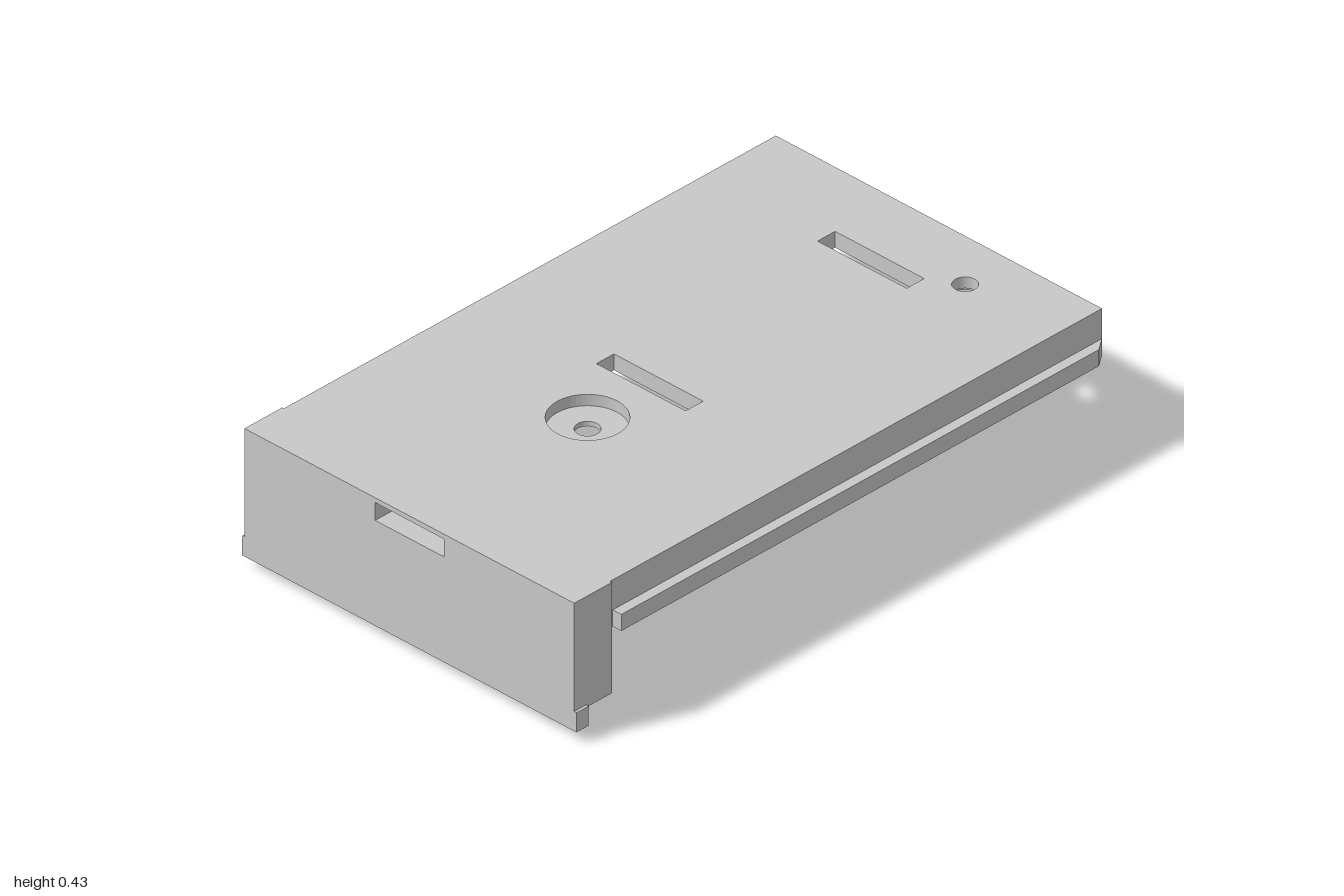
import * as THREE from 'three';

export function createModel() {
  const model = new THREE.Group();
  const grey = new THREE.MeshStandardMaterial({ color: 0xc8c8c8 });
  grey.name = 'plain grey';

  const add = (name, geometry) => {
    const mesh = new THREE.Mesh(geometry, grey);
    mesh.name = name;
    model.add(mesh);
    return mesh;
  };
  const box = (name, x0, x1, y0, y1, z0, z1) =>
    add(name, new THREE.BoxGeometry(x1 - x0, y1 - y0, z1 - z0))
      .position.set((x0 + x1) / 2, (y0 + y1) / 2, (z0 + z1) / 2);

  // Plan outlines: shape y is -z, outer outlines run counter-clockwise
  const polygon = (Type, pts) => new Type(pts.map(([x, z]) => new THREE.Vector2(x, -z)));
  const rect = (x0, x1, z0, z1) => polygon(THREE.Path, [[x0, z0], [x1, z0], [x1, z1], [x0, z1]]);
  const circle = (x, z, r) => new THREE.Path().absarc(x, -z, r, 0, Math.PI * 2, true);
  const extrude = (name, shape, y0, y1) => {
    const g = new THREE.ExtrudeGeometry(shape, { depth: y1 - y0, bevelEnabled: false, curveSegments: 24 });
    g.rotateX(-Math.PI / 2);
    add(name, g).position.y = y0;
  };

  const X0 = -1, X1 = 0.965, XLEG = -0.86;
  const Z0 = -0.593, Z1 = 0.59; // cover sides
  const L0 = -0.599, L1 = 0.597; // leg sides, slightly proud
  const slab = (name, y0, y1, notched, holes) => {
    const notch = notched ? [[X0, -0.125], [-0.87, -0.125], [-0.87, 0.125], [X0, 0.125]] : [];
    const shape = polygon(THREE.Shape, [
      [X0, L0], ...notch, [X0, L1], [XLEG, L1], [XLEG, Z1], [X1, Z1], [X1, Z0], [XLEG, Z0], [XLEG, L0],
    ]);
    shape.holes.push(...holes);
    extrude(name, shape, y0, y1);
  };
  const openings = (boreRadius, sideRadius) => [
    rect(-0.14, -0.075, -0.163, 0.16),
    rect(0.68, 0.745, -0.163, 0.16),
    circle(0.8, 0.255, sideRadius),
    circle(-0.34, 0, boreRadius),
  ];
  const recess = () => [rect(-0.85, 0.925, -0.553, 0.55)];

  // Cover: hollow rim below, pierced plate above, finger slot in the end
  slab('rimLower', 0.286, 0.36, false, recess());
  slab('rimUpper', 0.36, 0.38, true, recess());
  slab('plateLower', 0.38, 0.395, true, openings(0.035, 0.05));
  slab('plateMiddle', 0.395, 0.415, true, openings(0.11, 0.035));
  slab('plateTop', 0.415, 0.43, false, openings(0.11, 0.035));

  // End leg with its bottom lip
  box('endLeg', X0, XLEG, 0.088, 0.286, L0, L1);
  box('legLip', X0, -0.955, 0.035, 0.088, -0.608, 0.605);
  for (const s of [-1, 1]) {
    const span = (a, b) => [Math.min(s * a, s * b), Math.max(s * a, s * b)];
    box('lipEnd', X0, -0.955, 0.088, 0.096, ...span(0.596, 0.606));
    // Stepped feet
    box('footStem', -0.955, -0.89, 0.035, 0.088, ...span(0.447, 0.51));
    box('footBase', -0.955, -0.89, 0, 0.035, ...span(0.447, 0.522));
  }

  // Guide rails on both long sides and the far end
  extrude('frontRail', polygon(THREE.Shape, [[-0.85, Z1], [-0.85, 0.621], [0.922, 0.621], [X1, Z1]]), 0.286, 0.337);
  box('backRail', -0.85, 0.922, 0.286, 0.337, -0.622, Z0);
  box('endRail', X1, 1, 0.303, 0.371, -0.556, 0.556);

  return model;
}
